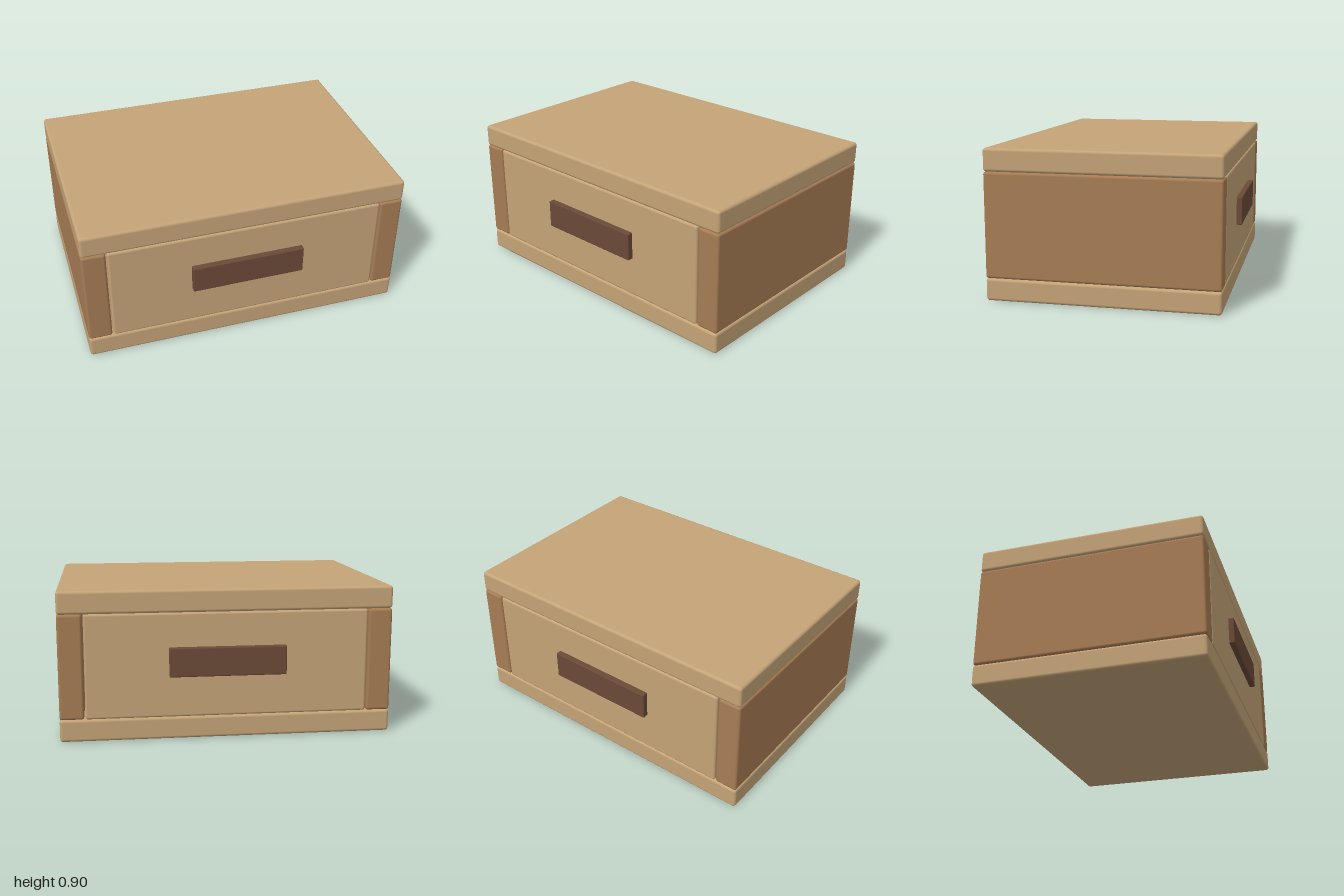
import * as THREE from 'three';
import { RoundedBoxGeometry } from 'three/addons/geometries/RoundedBoxGeometry.js';

const lightWood = new THREE.MeshStandardMaterial({ color: 0xc4a377 });
const midWood = new THREE.MeshStandardMaterial({ color: 0xa67c54 });
const darkWood = new THREE.MeshStandardMaterial({ color: 0x6a4a38 });

// Rounded block given by its minimum and maximum corners
function block(name, material, min, max, radius) {
  const size = max.map((v, i) => v - min[i]);
  const mesh = new THREE.Mesh(new RoundedBoxGeometry(...size, 3, radius), material);
  mesh.position.set(...max.map((v, i) => (v + min[i]) / 2));
  mesh.name = name;
  return mesh;
}

export function createModel() {
  const group = new THREE.Group();
  group.name = 'drawerBox';
  const back = -0.7, front = 0.69;

  // Base and top slabs
  group.add(block('base', lightWood, [-1, 0.005, back], [1, 0.14, front], 0.018));
  group.add(block('top', lightWood, [-1, 0.77, back], [1, 0.907, front], 0.018));

  // Side walls
  group.add(block('leftSide', midWood, [0.855, 0.14, back], [1, 0.77, front], 0.016));
  group.add(block('rightSide', midWood, [-1, 0.14, back], [-0.855, 0.77, front], 0.016));

  // Drawer running through from front to back, with a narrow gap at each side
  group.add(block('drawer', lightWood, [-0.848, 0.14, back], [0.848, 0.77, front], 0.014));

  // Handle bars on both drawer faces
  group.add(block('frontHandle', darkWood, [-0.35, 0.39, front - 0.01], [0.35, 0.565, 0.725], 0.007));
  group.add(block('backHandle', darkWood, [-0.35, 0.39, -0.735], [0.35, 0.565, back + 0.01], 0.007));

  return group;
}
